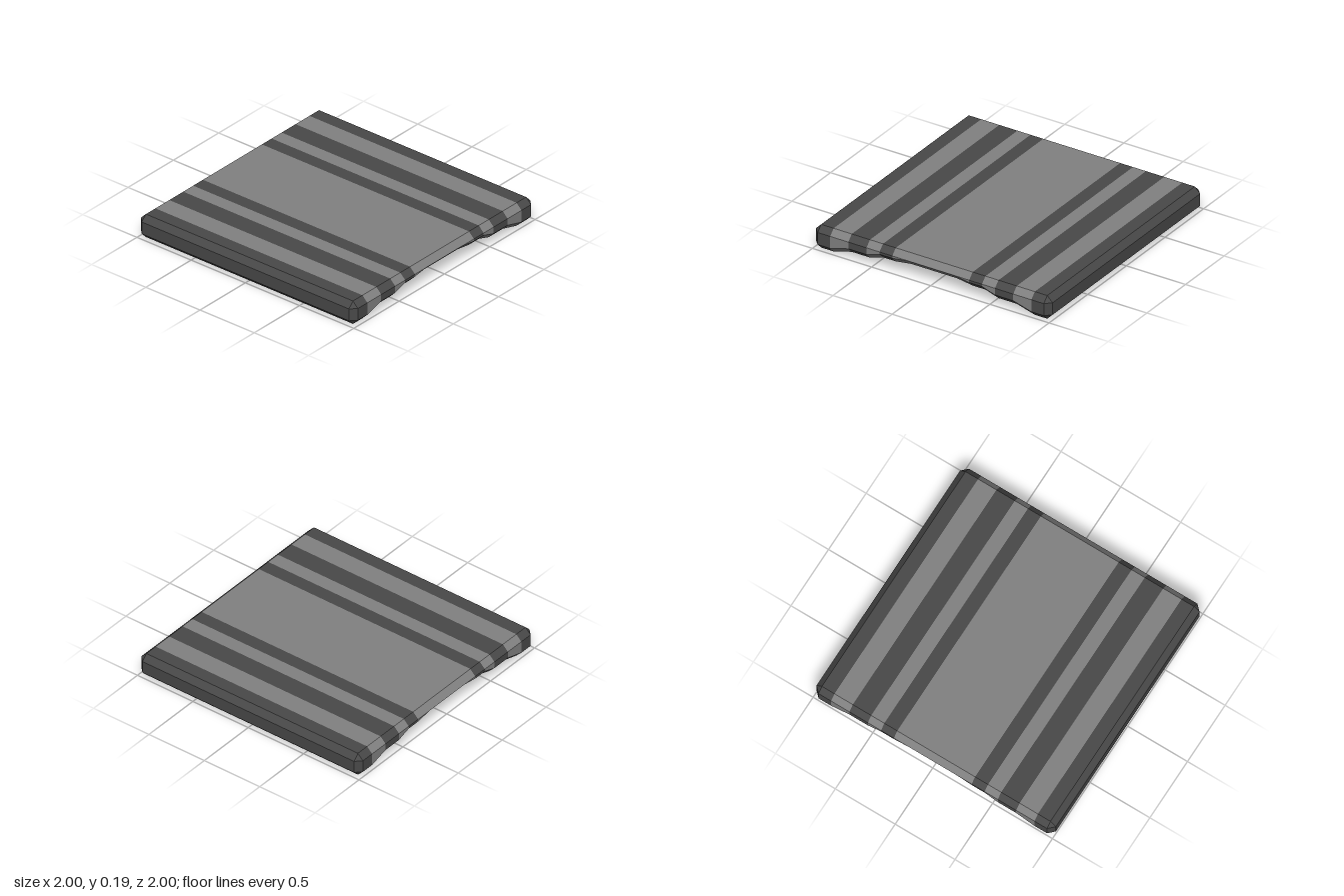
import * as THREE from 'three';

const TOP = 0.187, BEVEL = 0.045;
const DARK = 0x484848, LIGHT = 0x808080;

// One bevelled cross-section, counter-clockwise seen from +z.
function section(z, bottom) {
  const inner = 1 - BEVEL;
  const tip = Math.abs(z) === 1; // end faces are inset on every side
  const side = tip ? inner : 1;
  const top = tip ? TOP - BEVEL : TOP;
  const base = tip ? bottom + BEVEL : bottom;
  const right = [
    [inner, base], [side, bottom + BEVEL], [side, TOP - BEVEL], [inner, top],
  ];
  const left = right.map(([x, y]) => [-x, y]).reverse();
  return [...right, ...left].map(([x, y]) => new THREE.Vector3(x, y, z));
}

// Skin between consecutive sections, running from front to back.
function band(name, color, profile) {
  const rings = profile.map(([z, b]) => section(z, b));
  const positions = [];
  const tri = (a, b, c) => {
    if (new THREE.Triangle(a, b, c).getArea() < 1e-7) return;
    for (const p of [a, b, c]) positions.push(p.x, p.y, p.z);
  };
  for (let r = 0; r + 1 < rings.length; r++) {
    const a = rings[r], b = rings[r + 1];
    for (let i = 0; i < a.length; i++) {
      const j = (i + 1) % a.length;
      tri(a[i], b[i], b[j]);
      tri(a[i], b[j], a[j]);
    }
  }
  // End caps only on the outermost faces.
  rings.forEach((ring, r) => {
    const z = profile[r][0];
    if (Math.abs(z) !== 1) return;
    for (let i = 1; i + 1 < ring.length; i++) {
      if (z > 0) tri(ring[0], ring[i], ring[i + 1]);
      else tri(ring[0], ring[i + 1], ring[i]);
    }
  });
  const geometry = new THREE.BufferGeometry();
  geometry.setAttribute('position', new THREE.Float32BufferAttribute(positions, 3));
  geometry.computeVertexNormals();
  const mesh = new THREE.Mesh(geometry, new THREE.MeshStandardMaterial({ color, flatShading: true }));
  mesh.name = name;
  return mesh;
}

export function createModel() {
  const group = new THREE.Group();
  group.name = 'steppedSlab';

  // Stripes from the thick edge inward: [z, underside height].
  const stripes = [
    ['EdgeBand', DARK, [[1, 0], [1 - BEVEL, 0], [0.85, 0]]],
    ['OuterSlope', LIGHT, [[0.85, 0], [0.697, 0.043]]],
    ['OuterStep', DARK, [[0.697, 0.043], [0.543, 0.043]]],
    ['InnerSlope', LIGHT, [[0.543, 0.043], [0.433, 0.078]]],
    ['InnerStep', DARK, [[0.433, 0.078], [0.325, 0.078]]],
  ];
  for (const [name, color, profile] of stripes) {
    const mirrored = profile.map(([z, b]) => [-z, b]).reverse();
    group.add(band('front' + name, color, profile), band('back' + name, color, mirrored));
  }

  // Thin central panel with a raised underside.
  group.add(band('centrePanel', LIGHT, [[0.325, 0.078], [0.195, 0.097], [-0.195, 0.097], [-0.325, 0.078]]));
  return group;
}
